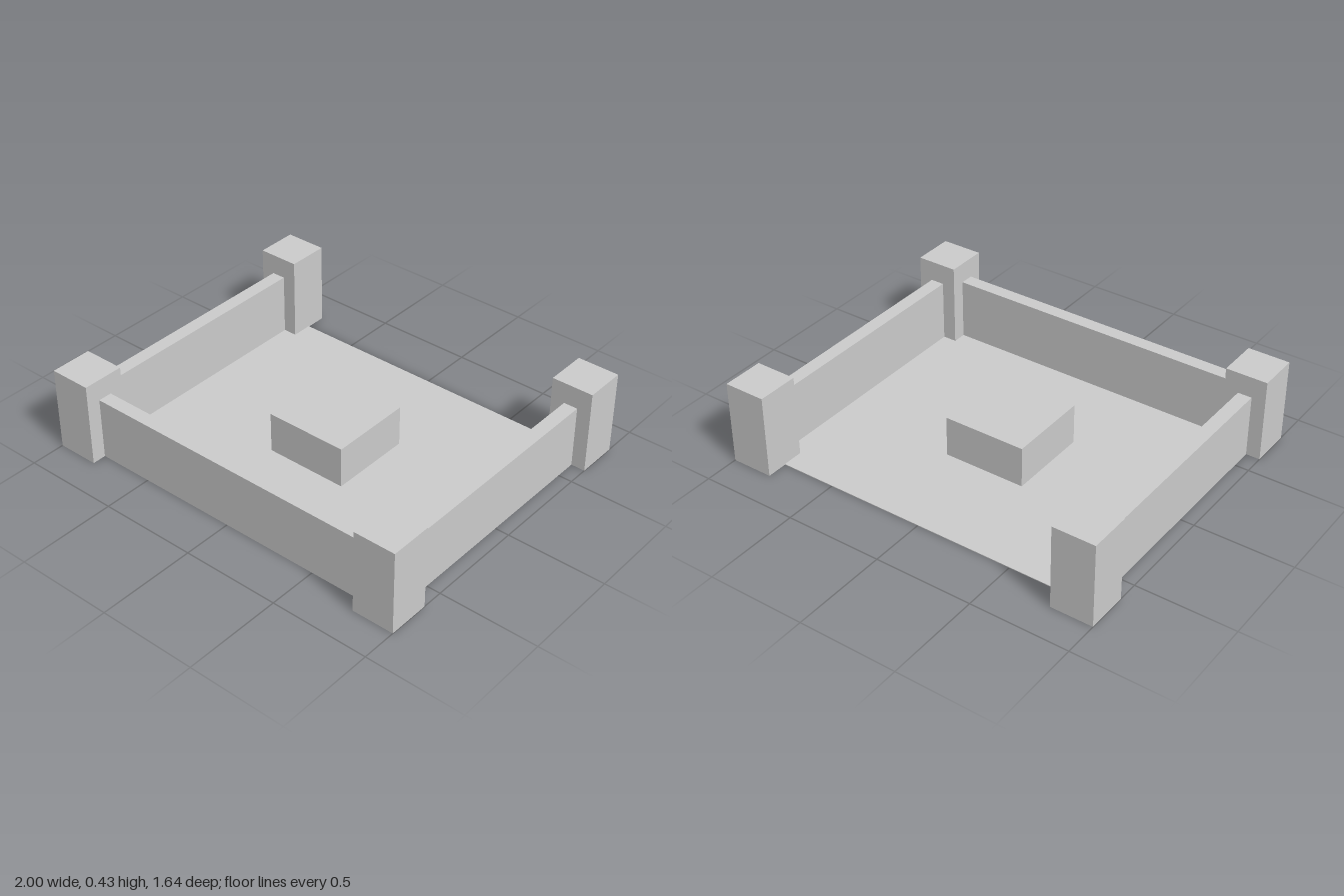
import * as THREE from 'three';

const U = 1 / 14; // module unit: wall thickness

export function createModel() {
  const group = new THREE.Group();
  const material = new THREE.MeshStandardMaterial({ color: 0xcccccc, flatShading: true });

  // box standing on the ground, sizes and position in module units
  const block = (name, w, h, d, x = 0, z = 0) => {
    const mesh = new THREE.Mesh(new THREE.BoxGeometry(w * U, h * U, d * U), material);
    mesh.position.set(x * U, (h * U) / 2, z * U);
    mesh.name = name;
    group.add(mesh);
  };

  // thin courtyard floor and central keep
  block('floor', 25, 0.05, 20);
  block('keep', 6, 3, 6);

  // corner towers and side walls
  for (const [side, sx] of [['left', 1], ['right', -1]]) {
    for (const [end, sz] of [['Front', 1], ['Back', -1]]) {
      block(`${side}${end}Tower`, 3, 6, 3, sx * 12.5, sz * 10);
    }
    block(`${side}Wall`, 1, 4.5, 17, sx * 12.5, 0);
  }

  // front wall; the back stays open
  block('frontWall', 22, 4.5, 1, 0, 10);

  return group;
}
